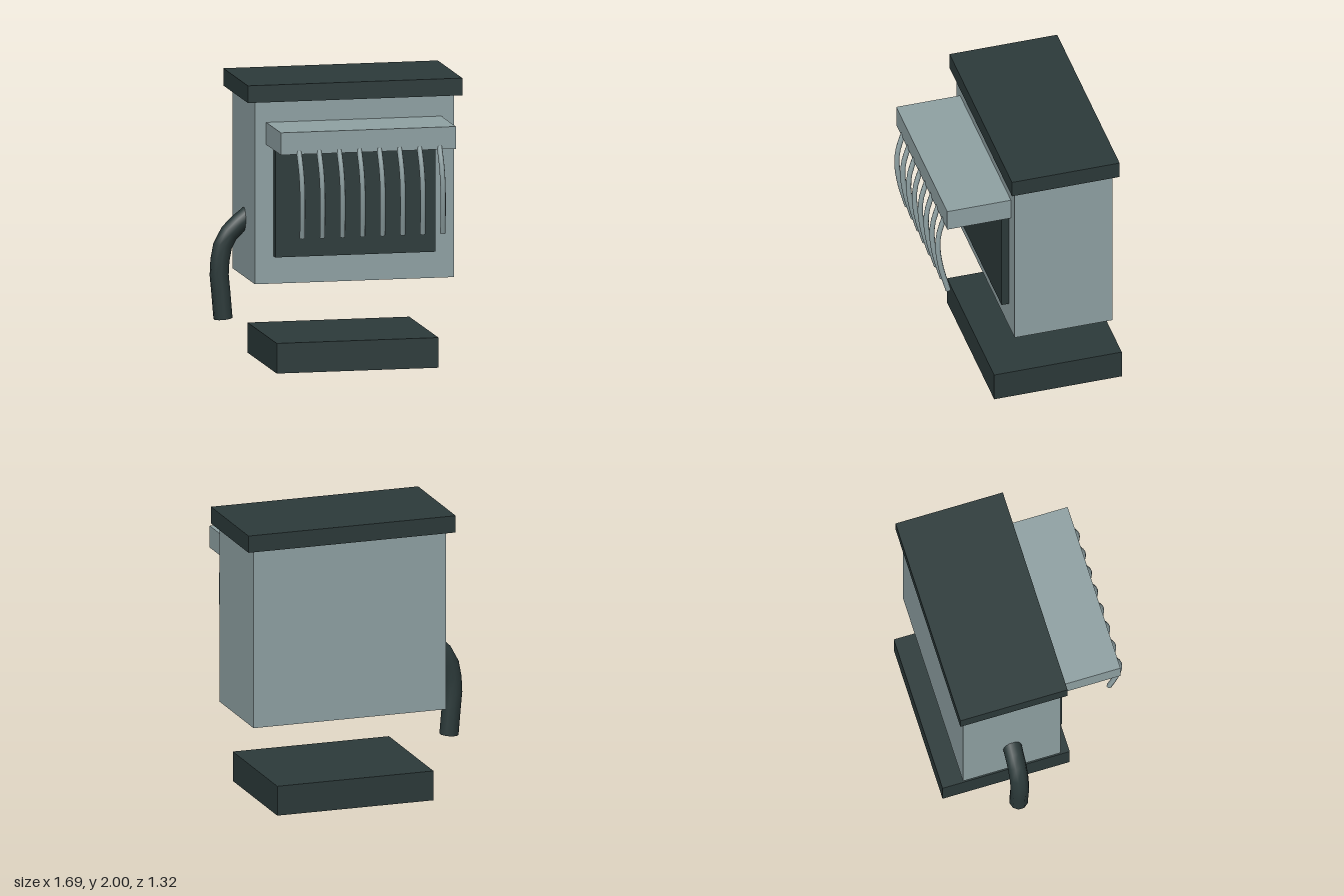
import * as THREE from 'three';

const lightGrey = new THREE.MeshStandardMaterial({ color: 0x90a2a4 });
lightGrey.name = 'light grey';
const darkGreen = new THREE.MeshStandardMaterial({ color: 0x2c3a3a });
darkGreen.name = 'dark green grey';

// Box given by its lower and upper corners
function block(name, material, [x0, y0, z0], [x1, y1, z1]) {
  const mesh = new THREE.Mesh(new THREE.BoxGeometry(x1 - x0, y1 - y0, z1 - z0), material);
  mesh.position.set((x0 + x1) / 2, (y0 + y1) / 2, (z0 + z1) / 2);
  mesh.name = name;
  return mesh;
}

// Bent rod along a smooth path, closed with a disc at each end
function bentRod(name, material, points, radius, steps, sides) {
  const group = new THREE.Group();
  group.name = name;
  const path = new THREE.CatmullRomCurve3(points.map((p) => new THREE.Vector3(...p)));
  group.add(new THREE.Mesh(new THREE.TubeGeometry(path, steps, radius, sides), material));
  for (const t of [0, 1]) {
    const cap = new THREE.Mesh(new THREE.CircleGeometry(radius, sides), material);
    const outward = path.getTangentAt(t).multiplyScalar(t ? 1 : -1);
    cap.position.copy(path.getPointAt(t));
    cap.quaternion.setFromUnitVectors(new THREE.Vector3(0, 0, 1), outward);
    group.add(cap);
  }
  return group;
}

export function createModel() {
  const model = new THREE.Group();
  model.name = 'cabinet';

  model.add(
    block('base', darkGreen, [-0.48, 0, -0.66], [0.66, 0.21, 0.255]),
    block('body', lightGrey, [-0.61, 0.61, -0.553], [0.795, 1.88, 0.148]),
    block('lid', darkGreen, [-0.667, 1.88, -0.59], [0.845, 2, 0.182]),
    block('hood', lightGrey, [-0.53, 1.58, 0.1], [0.704, 1.735, 0.605]),
    block('frontPanel', darkGreen, [-0.478, 0.8, 0.1], [0.653, 1.56, 0.2])
  );

  // Curved bars hanging from the front edge of the hood
  const bars = new THREE.Group();
  bars.name = 'bars';
  for (let i = 0; i < 8; i++) {
    const x = -0.4 + i * 0.1415;
    bars.add(bentRod('bar', lightGrey, [
      [x, 1.6, 0.592], [x + 0.007, 1.48, 0.631],
      [x + 0.013, 1.36, 0.643], [x + 0.02, 1.18, 0.621], [x + 0.029, 0.99, 0.573],
    ], 0.019, 10, 8));
  }
  model.add(bars);

  // Drain pipe bending out of the side of the body
  model.add(bentRod('pipe', darkGreen, [
    [-0.757, 0.322, -0.198], [-0.772, 0.5, -0.198], [-0.784, 0.67, -0.198],
    [-0.745, 0.87, -0.198], [-0.665, 0.965, -0.198], [-0.56, 1.05, -0.198],
  ], 0.066, 8, 10));

  return model;
}
